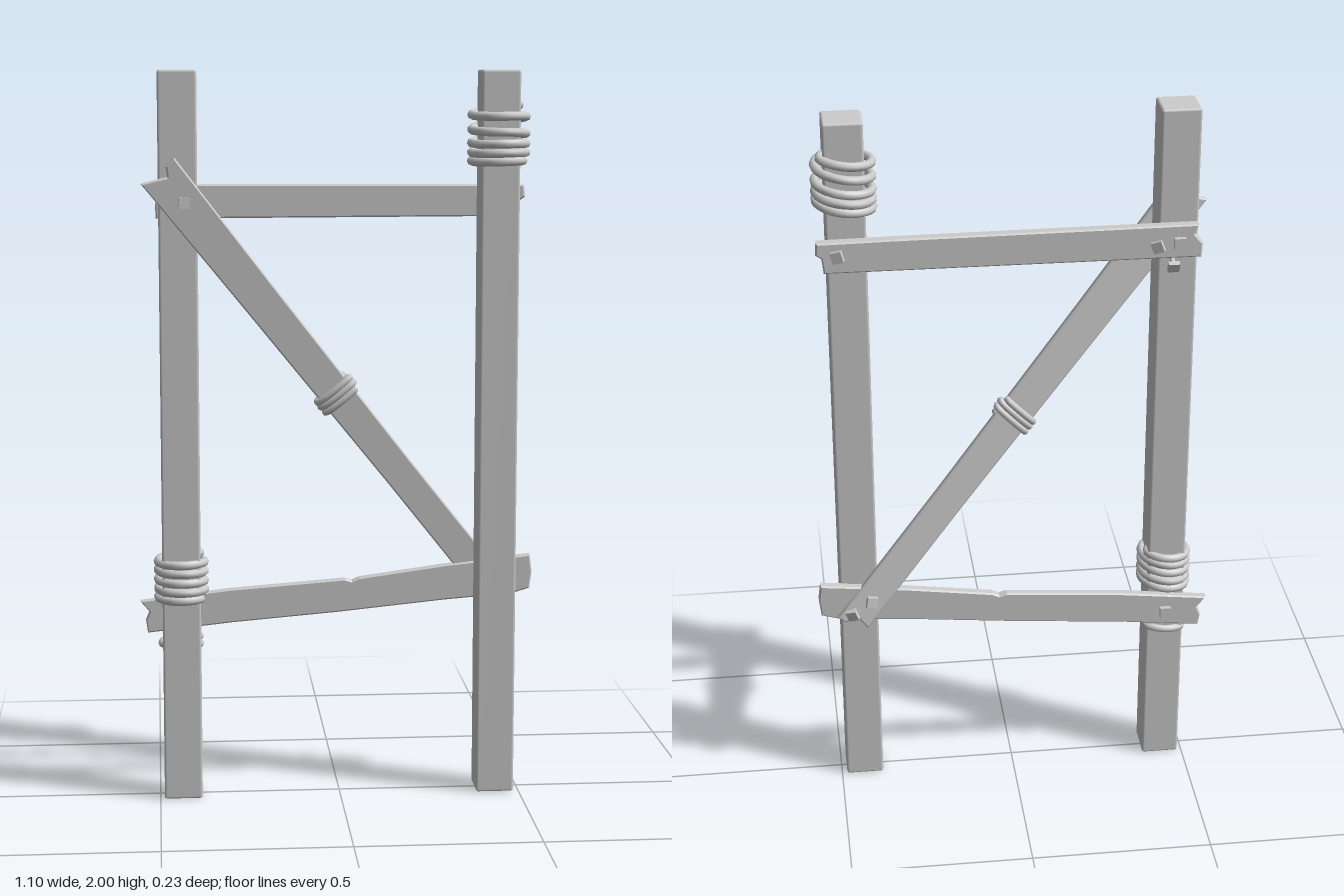
import * as THREE from 'three';
import { RoundedBoxGeometry } from 'three/addons/geometries/RoundedBoxGeometry.js';

const V = (x, y, z) => new THREE.Vector3(x, y, z);

export function createModel() {
  const model = new THREE.Group();
  model.name = 'woodenFrame';
  const grey = new THREE.MeshStandardMaterial({ color: 0xcccccc });
  grey.name = 'pale grey';

  const add = (name, geometry, parent = model) => {
    const mesh = new THREE.Mesh(geometry, grey);
    mesh.name = name;
    parent.add(mesh);
    return mesh;
  };

  // Flat board cut from an outline, with slightly worn edges
  const board = (name, outline, thickness) => {
    const bevel = 0.004;
    const shape = new THREE.Shape(outline.map(([x, y]) => new THREE.Vector2(x, y)));
    const geometry = new THREE.ExtrudeGeometry(shape, {
      depth: thickness - 2 * bevel, bevelEnabled: true, bevelThickness: bevel,
      bevelSize: bevel, bevelOffset: -bevel, bevelSegments: 1,
    });
    geometry.translate(0, 0, bevel - thickness / 2);
    return add(name, geometry);
  };

  // Rope wound through the given heights, one turn per step, its ends tucked into the wood
  const coil = (name, heights, rx, rz, tube, sway = 0.004) => {
    const turns = heights.length - 1, steps = 20, last = turns * steps, points = [];
    for (let i = 0; i <= last; i++) {
      const k = Math.min(Math.floor(i / steps), turns - 1);
      const a = (i / steps) * Math.PI * 2;
      const y = THREE.MathUtils.lerp(heights[k], heights[k + 1], i / steps - k);
      const tuck = Math.min(1, 0.55 + 0.25 * Math.min(i, last - i));
      points.push(V(rx * tuck * Math.cos(a), y + sway * Math.cos(a), rz * tuck * Math.sin(a)));
    }
    const curve = new THREE.CatmullRomCurve3(points);
    return add(name, new THREE.TubeGeometry(curve, turns * 40, tube, 8));
  };

  // Square-headed nail whose shank points along the given direction
  const nail = (x, y, z, direction) => {
    const group = new THREE.Group();
    group.name = 'nail';
    add('nailShank', new THREE.CylinderGeometry(0.007, 0.007, 0.05, 6), group).position.y = -0.03;
    add('nailHead', new THREE.BoxGeometry(0.03, 0.013, 0.03), group);
    group.position.set(x, y, z);
    group.quaternion.setFromUnitVectors(V(0, 1, 0), direction.normalize());
    model.add(group);
  };

  // Upright posts
  for (const [name, x] of [['rightPost', -0.436], ['leftPost', 0.433]]) {
    add(name, new RoundedBoxGeometry(0.105, 2, 0.105, 1, 0.007)).position.set(x, 1, 0.006);
  }

  // Upper rail with split ends
  board('upperRail', [
    [-0.495, 1.6], [0.495, 1.603], [0.5, 1.645], [0.515, 1.655], [0.512, 1.688],
    [0.3, 1.69], [-0.485, 1.692], [-0.475, 1.665], [-0.497, 1.64],
  ], 0.03).position.z = -0.061;

  // Lower rail, sloping and slightly bowed, with a nick in its top edge
  board('lowerRail', [
    [-0.53, 0.45], [-0.3, 0.475], [0, 0.5], [0.3, 0.53], [0.49, 0.545], [0.54, 0.56],
    [0.546, 0.61], [0.54, 0.656], [0.3, 0.63], [0.06, 0.597], [0.04, 0.588], [0.02, 0.594],
    [-0.3, 0.57], [-0.55, 0.54], [-0.525, 0.51], [-0.535, 0.485],
  ], 0.026).position.z = -0.054;

  // Diagonal brace, running from the front of one post to the back of the other
  const top = V(-0.49, 1.735, 0.08), bottom = V(0.46, 0.53, -0.073);
  const along = bottom.clone().sub(top).normalize();
  const across = V(0, 0, 1).cross(along).normalize();
  const facing = along.clone().cross(across);
  const half = top.distanceTo(bottom) / 2;
  const brace = board('diagonalBrace', [
    [-half, -0.056], [-0.3, -0.05], [0.3, -0.044], [half - 0.02, -0.044], [half - 0.03, 0],
    [half, 0.02], [half, 0.044], [0.3, 0.044], [-0.3, 0.05], [-half, 0.057],
    [-half + 0.005, 0.025], [-half + 0.03, 0.01],
  ], 0.021);
  brace.quaternion.setFromRotationMatrix(new THREE.Matrix4().makeBasis(along, across, facing));
  brace.position.copy(top).lerp(bottom, 0.5);

  // Rope bindings
  coil('upperPostRope', [1.75, 1.772, 1.796, 1.823, 1.868, 1.902], 0.074, 0.074, 0.012, 0.006)
    .position.set(0.433, 0, 0.006);
  coil('lowerPostRope', [0.558, 0.58, 0.605, 0.632, 0.658, 0.678], 0.064, 0.067, 0.012)
    .position.set(-0.436, 0, 0.006);
  coil('lowerRopeLoop', [0.425, 0.44], 0.058, 0.04, 0.011).position.set(-0.433, 0, -0.015);
  const braceRope = coil('braceRope', [-0.026, -0.008, 0.01, 0.026], 0.056, 0.016, 0.01);
  braceRope.quaternion.setFromRotationMatrix(
    new THREE.Matrix4().makeBasis(across, along.clone().negate(), facing));
  braceRope.position.copy(top).lerp(bottom, 0.508);

  // Nails, driven in at odd angles
  nail(-0.42, 1.65, 0.102, V(0.1, 0, 1));
  nail(-0.43, 1.655, -0.107, V(0, 0, -1));
  nail(-0.375, 1.64, -0.09, V(0.4, 0, -1));
  nail(-0.42, 1.578, -0.08, V(0, -0.5, -1));
  nail(0.46, 1.655, -0.09, V(0.3, 0, -1));
  nail(0.4, 0.617, -0.104, V(-0.2, 0.1, -1));
  nail(0.455, 0.575, -0.098, V(0.3, -0.2, -1));
  nail(-0.43, 0.512, -0.086, V(0, 0, -1));

  return model;
}
